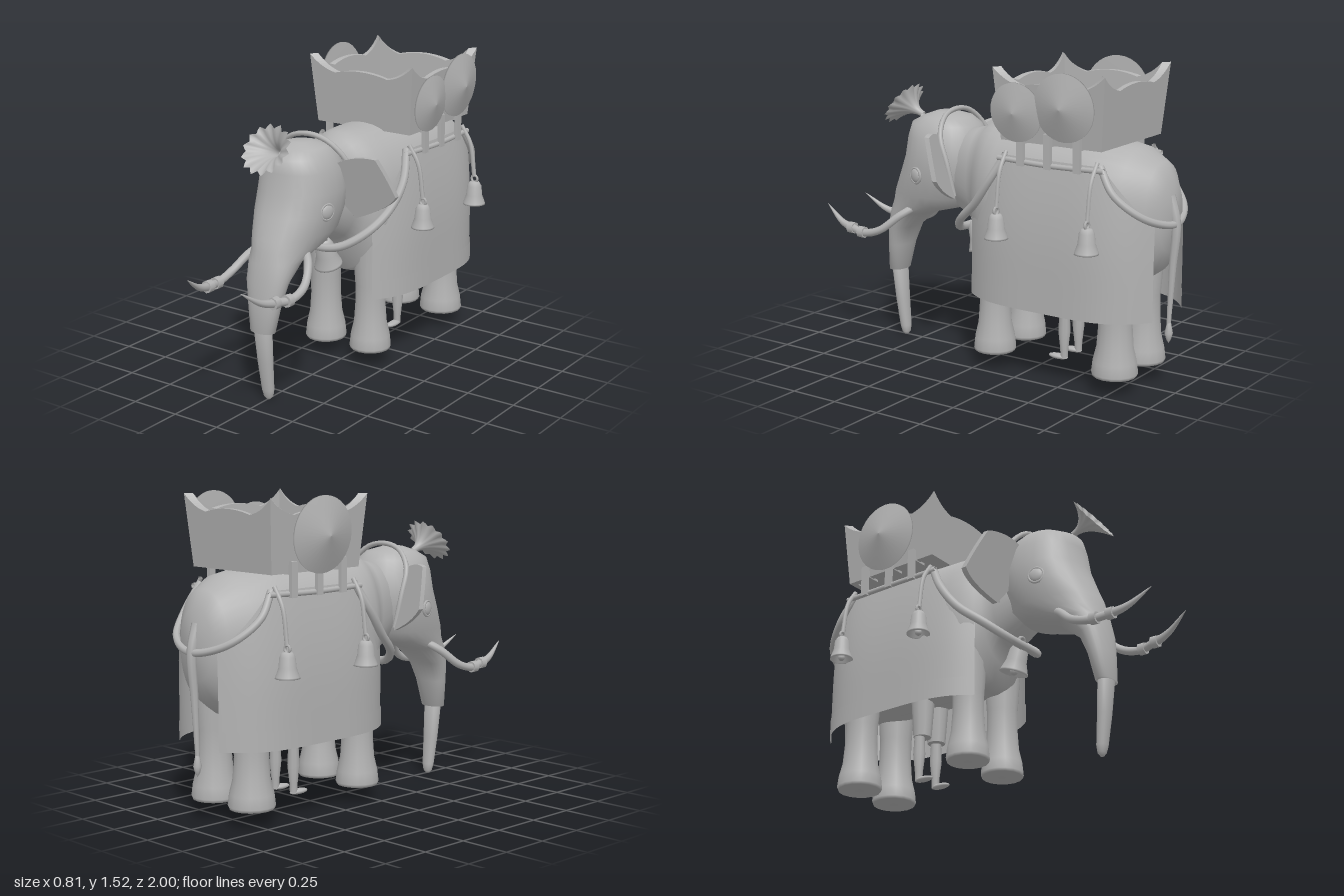
import * as THREE from 'three';

const V = (x, y, z) => new THREE.Vector3(x, y, z);
const stone = new THREE.MeshStandardMaterial({ color: 0xb2b2b2, side: THREE.DoubleSide });
stone.name = 'stone grey';

function add(parent, name, geo, x = 0, y = 0, z = 0) {
  const m = new THREE.Mesh(geo, stone);
  m.name = name;
  m.position.set(x, y, z);
  parent.add(m);
  return m;
}

// Skin a row of elliptical sections {c, u, v}, closed at both ends
function loft(sections, n = 28) {
  const pos = [], idx = [];
  const f = (t) => Math.sign(t) * Math.pow(Math.abs(t), 0.9);
  for (const { c, u, v } of sections) {
    for (let i = 0; i < n; i++) {
      const a = (i / n) * Math.PI * 2;
      const p = c.clone().addScaledVector(u, f(Math.cos(a))).addScaledVector(v, f(Math.sin(a)));
      pos.push(p.x, p.y, p.z);
    }
  }
  const last = sections.length - 1;
  for (let k = 0; k < last; k++) for (let i = 0; i < n; i++) {
    const a = k * n + i, b = k * n + (i + 1) % n;
    idx.push(a, b, a + n, b, b + n, a + n);
  }
  const first = sections[0].c, end = sections[last].c, q = pos.length / 3;
  pos.push(first.x, first.y, first.z, end.x, end.y, end.z);
  for (let i = 0; i < n; i++) {
    const j = (i + 1) % n;
    idx.push(q, j, i, q + 1, last * n + i, last * n + j);
  }
  const g = new THREE.BufferGeometry();
  g.setAttribute('position', new THREE.Float32BufferAttribute(pos, 3));
  g.setIndex(idx);
  g.computeVertexNormals();
  return g;
}

// Tube whose radius follows a function of its length
function tube(points, radius, seg = 32, sides = 8) {
  const curve = new THREE.CatmullRomCurve3(points.map((p) => V(...p)));
  const g = new THREE.TubeGeometry(curve, seg, 1, sides);
  const p = g.attributes.position, v = V(0, 0, 0);
  for (let i = 0; i < p.count; i++) {
    const t = Math.floor(i / (sides + 1)) / seg, c = curve.getPointAt(t);
    v.fromBufferAttribute(p, i).sub(c).multiplyScalar(typeof radius === 'number' ? radius : radius(t)).add(c);
    p.setXYZ(i, v.x, v.y, v.z);
  }
  return g;
}

const lathe = (pts, n = 20) => new THREE.LatheGeometry(pts.map((p) => new THREE.Vector2(...p)), n);
const mirrored = (half) => [...half, ...half.slice(0, -1).reverse().map(([x, y, z]) => [-x, y, z])];

function bell(parent, x, y, z, s = 1) {
  const b = new THREE.Group();
  b.name = 'bell';
  b.position.set(x, y, z);
  b.scale.setScalar(s);
  add(b, 'bellShell', lathe([[0, 0.125], [0.025, 0.122], [0.038, 0.1], [0.043, 0.05], [0.058, 0.008], [0.06, 0], [0.05, 0], [0.035, 0.05], [0, 0.1]]));
  add(b, 'bellClapper', new THREE.SphereGeometry(0.018, 10, 8), 0, 0.01, 0);
  add(b, 'bellLoop', new THREE.TorusGeometry(0.018, 0.007, 6, 12), 0, 0.138, 0);
  parent.add(b);
  return b;
}

// Side cloth surface: top edge follows the ropes, plan narrows toward both ends
function clothPanel(y0, y1, side, lift) {
  const g = new THREE.PlaneGeometry(1, 1, 40, 10), p = g.attributes.position;
  for (let i = 0; i < p.count; i++) {
    const z = 0.03 - (p.getX(i) + 0.5) * 0.975;
    const rope = Math.min(1.1, 0.81 + (0.03 - z) * 1.26, 0.84 + (z + 0.945) * 1.2);
    const y = y0 + (p.getY(i) + 0.5) * (Math.min(y1, rope) - y0);
    const t = (z + 0.46) / 0.5;
    const w = 0.31 - 0.05 * Math.pow(Math.max(0, (y - 0.6) / 0.5), 2) + lift;
    p.setXYZ(i, side * w * (1 - (t > 0 ? 0.36 : 0.62) * t ** 4), y, z);
  }
  g.computeVertexNormals();
  return g;
}

function buildAnimal(root) {
  // z, centre y, half width, half height
  const body = [[0.3, 0.97, 0.13, 0.17], [0.1, 0.92, 0.16, 0.245], [0.05, 0.89, 0.185, 0.29], [0.025, 0.85, 0.215, 0.35], [-0.03, 0.84, 0.25, 0.365],
    [-0.1, 0.84, 0.268, 0.365], [-0.3, 0.845, 0.285, 0.36], [-0.6, 0.845, 0.285, 0.355], [-0.8, 0.835, 0.252, 0.33], [-0.91, 0.845, 0.172, 0.26], [-0.955, 0.85, 0.11, 0.165], [-0.972, 0.86, 0.03, 0.05]];
  add(root, 'body', loft(body.map(([z, y, w, h]) => ({ c: V(0, y, z), u: V(0, h, 0), v: V(w, 0, 0) })), 36));

  // y, front z, back z, half width
  const slice = ([y, f, b, w]) => ({ c: V(0, y, (f + b) / 2), u: V(w, 0, 0), v: V(0, 0, (f - b) / 2) });
  const head = [[1.222, 0.38, 0.28, 0.05], [1.2, 0.44, 0.2, 0.12], [1.165, 0.505, 0.15, 0.155], [1.1, 0.52, 0.12, 0.185], [1.0, 0.535, 0.1, 0.2],
    [0.9, 0.575, 0.11, 0.195], [0.8, 0.62, 0.14, 0.172], [0.745, 0.635, 0.22, 0.15], [0.69, 0.65, 0.42, 0.13],
    [0.6, 0.667, 0.53, 0.112], [0.5, 0.677, 0.57, 0.09], [0.36, 0.685, 0.6, 0.066]];
  add(root, 'headAndUpperTrunk', loft(head.map(slice)));
  const tip = [[0.37, 0.678, 0.605, 0.047], [0.2, 0.658, 0.595, 0.04], [0.05, 0.635, 0.583, 0.031], [0.015, 0.625, 0.587, 0.024], [0, 0.615, 0.597, 0.01]];
  add(root, 'lowerTrunk', loft(tip.map(slice), 16));

  for (const s of [1, -1]) {
    const half = new THREE.Group();
    half.name = s > 0 ? 'leftFeatures' : 'rightFeatures';
    half.scale.x = s;
    root.add(half);

    // Legs
    const leg = [[0, 0.08], [0.1, 0.08], [0.106, 0.095], [0.1, 0.15], [0.084, 0.22], [0.077, 0.32], [0.077, 0.42], [0.09, 0.6], [0.095, 0.75]];
    add(half, 'frontLeg', lathe(leg, 16), 0.137, 0, -0.06);
    add(half, 'hindLeg', lathe(leg.map(([r, y]) => [r * 1.06, y]), 16), 0.133, 0, -0.745);

    // Ear: flat flap leaning back and outward
    const e = new THREE.Shape();
    e.moveTo(0.16, 1.12);
    e.quadraticCurveTo(0.25, 1.17, 0.34, 1.15);
    e.quadraticCurveTo(0.375, 1.06, 0.4, 0.955);
    e.quadraticCurveTo(0.36, 0.89, 0.2, 0.83);
    e.lineTo(0.16, 0.9);
    const eg = new THREE.ExtrudeGeometry(e, { depth: 0.028, bevelEnabled: false, curveSegments: 8 }), p = eg.attributes.position;
    for (let i = 0; i < p.count; i++) {
      p.setZ(i, p.getZ(i) + 0.24 - 0.4 * (p.getX(i) - 0.2) - 0.33 * (1.15 - p.getY(i)));
    }
    eg.computeVertexNormals();
    add(half, 'ear', eg);

    // Eye
    const eye = new THREE.Group();
    eye.name = 'eye';
    eye.position.set(0.19, 0.915, 0.385);
    eye.rotation.set(0, 1.3, 0);
    add(eye, 'eyeball', new THREE.SphereGeometry(0.036, 16, 10)).scale.z = 0.4;
    add(eye, 'eyelid', new THREE.TorusGeometry(0.038, 0.007, 6, 20));
    half.add(eye);

    // Tusk with two rings and a pointed blade
    add(half, 'tusk', tube([[0.1, 0.74, 0.44], [0.17, 0.685, 0.51], [0.21, 0.61, 0.6], [0.212, 0.58, 0.7], [0.193, 0.59, 0.8]], 0.02, 24, 10));
    add(half, 'tuskBlade', tube([[0.198, 0.585, 0.78], [0.18, 0.61, 0.88], [0.153, 0.685, 0.997]], (t) => 0.024 * Math.pow(1 - t, 0.8) + 0.0005, 16, 8));
    for (const [x, y, z] of [[0.21, 0.581, 0.72], [0.194, 0.59, 0.8]]) {
      add(half, 'tuskRing', new THREE.CylinderGeometry(0.03, 0.03, 0.035, 8), x, y, z).rotation.x = Math.PI / 2;
    }
  }

  // Tail and tuft
  add(root, 'tail', tube([[0, 0.95, -0.945], [0, 0.82, -0.98], [0, 0.6, -0.968], [0, 0.32, -0.955]], (t) => 0.028 - 0.018 * t));
  add(root, 'tailTuft', lathe([[0, 0], [0.012, 0.02], [0.02, 0.05], [0.01, 0.1], [0, 0.11]], 10), 0, 0.24, -0.957);
}

function buildTrappings(root) {
  // Trumpet plume with a pointed rim on the forehead
  const plume = new THREE.CylinderGeometry(1, 1, 1, 56, 10, true), p = plume.attributes.position;
  for (let i = 0; i < p.count; i++) {
    const t = p.getY(i) + 0.5, a = Math.atan2(p.getZ(i), p.getX(i));
    const r = 0.016 + 0.104 * t ** 2.4 + 0.012 * t ** 5 * Math.cos(14 * a);
    p.setXYZ(i, r * Math.cos(a), t * 0.125, r * Math.sin(a) - 0.035 * (1 - t));
  }
  plume.computeVertexNormals();
  add(root, 'foreheadPlume', plume, 0, 1.16, 0.5).rotation.x = 0.93;

  // Straps and ropes
  add(root, 'headStrap', tube(mirrored([[0.19, 0.84, 0.15], [0.205, 1.0, 0.18], [0.19, 1.13, 0.23], [0.11, 1.215, 0.26], [0, 1.24, 0.265]]), 0.013));
  add(root, 'chestRope', tube(mirrored([[0.25, 1.1, -0.2], [0.285, 0.96, -0.12], [0.27, 0.84, -0.03], [0.215, 0.74, 0.09], [0.11, 0.67, 0.17], [0, 0.655, 0.19]]), 0.021, 64));
  add(root, 'rumpRope', tube(mirrored([[0.25, 1.1, -0.72], [0.265, 0.98, -0.8], [0.185, 0.87, -0.92], [0, 0.82, -0.98]]), 0.018, 56));
  bell(root, 0, 0.54, 0.11, 1.2).rotation.x = 0.3;

  for (const s of [1, -1]) {
    add(root, 'sideCloth', clothPanel(0.38, 1.1, s, 0));
    add(root, 'clothHem', clothPanel(0.375, 0.47, s, 0.008));
    add(root, 'sideRope', tube([[s * 0.27, 1.085, -0.17], [s * 0.28, 1.08, -0.45], [s * 0.27, 1.085, -0.75]], 0.013));
    // Brackets that hold the seat above the rope
    for (const z of [-0.31, -0.46, -0.62]) {
      add(root, 'seatTab', new THREE.BoxGeometry(0.02, 0.16, 0.036), s * 0.29, 1.145, z);
      add(root, 'seatBracket', new THREE.BoxGeometry(0.09, 0.06, 0.036), s * 0.255, 1.2, z);
    }
    for (const z of [-0.21, -0.71]) {
      add(root, 'bellCord', tube([[s * 0.26, 1.12, z], [s * 0.315, 1.03, z], [s * 0.343, 0.86, z]], 0.011, 12, 6));
      bell(root, s * 0.345, 0.712, z, 0.97);
    }
  }
}

function buildSeat(root) {
  const seat = new THREE.Group();
  seat.name = 'seatBox';
  seat.position.set(0, 0, -0.465);
  root.add(seat);

  // Four flared walls with peaked corners
  const w = new THREE.Shape();
  w.moveTo(-0.275, 1.175);
  w.lineTo(0.275, 1.175);
  w.lineTo(0.304, 1.52);
  w.quadraticCurveTo(0.24, 1.455, 0.155, 1.44);
  w.quadraticCurveTo(0, 1.48, -0.155, 1.44);
  w.quadraticCurveTo(-0.24, 1.455, -0.304, 1.52);
  const wall = new THREE.ExtrudeGeometry(w, { depth: 0.03, bevelEnabled: false, curveSegments: 10 }), p = wall.attributes.position;
  for (let i = 0; i < p.count; i++) {
    const y = p.getY(i), inner = p.getZ(i) < 0.015;
    if (inner) p.setX(i, p.getX(i) * 0.9);
    p.setZ(i, (inner ? 0.245 : 0.275) + (y - 1.175) * 0.084);
  }
  wall.computeVertexNormals();
  for (let i = 0; i < 4; i++) add(seat, 'seatWall', wall).rotation.y = i * Math.PI / 2;
  add(seat, 'seatFloor', new THREE.BoxGeometry(0.53, 0.05, 0.53), 0, 1.208, 0);

  // Shallow conical shields: side, centre x, y, z, radius, height
  for (const [s, x, y, z, r, h] of [[1, 0.322, 1.32, -0.305, 0.14, 0.035], [1, 0.325, 1.365, -0.567, 0.16, 0.045], [-1, 0.322, 1.345, -0.465, 0.18, 0.055]]) {
    const m = add(root, 'shield', lathe([[0, -0.005], [r, -0.005], [r, 0.003], [0, h]], 32), s * x, y, z);
    m.rotation.z = -s * (Math.PI / 2 + 0.07);
  }
}

function buildAttendant(root) {
  // Standing figure mostly hidden beneath the belly
  for (const s of [1, -1]) {
    add(root, 'attendantLeg', lathe([[0.018, 0.08], [0.02, 0.13], [0.03, 0.22], [0.026, 0.3], [0.036, 0.42]], 10), s * 0.065, 0, -0.42);
    add(root, 'attendantFoot', new THREE.SphereGeometry(1, 12, 8), s * 0.065, 0.085, -0.387).scale.set(0.024, 0.014, 0.055);
    add(root, 'attendantShorts', new THREE.CylinderGeometry(0.06, 0.045, 0.22, 10), s * 0.055, 0.42, -0.41);
  }
}

export function createModel() {
  const root = new THREE.Group();
  root.name = 'caparisonedElephant';
  buildAnimal(root);
  buildTrappings(root);
  buildSeat(root);
  buildAttendant(root);
  return root;
}
